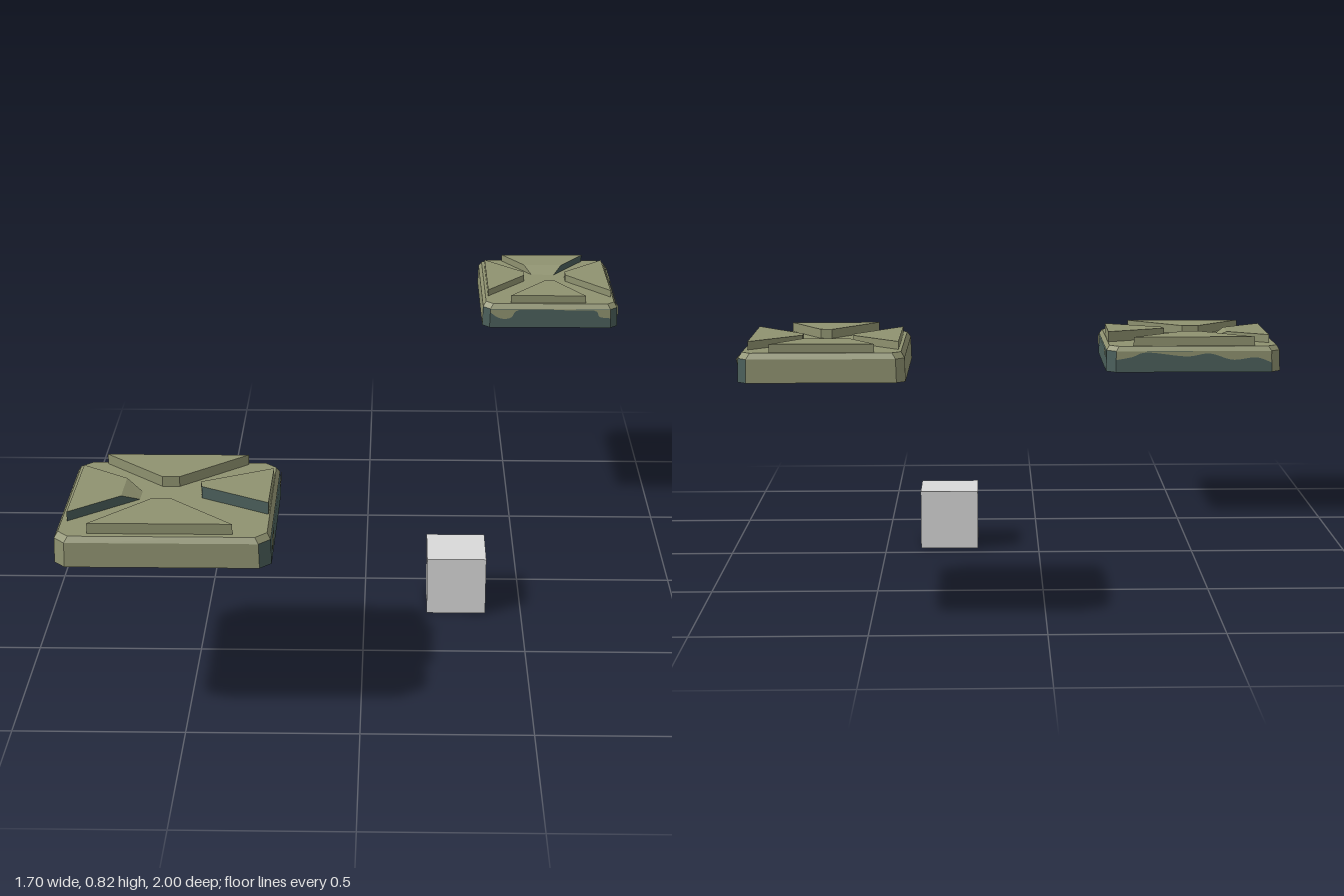
import * as THREE from 'three';

const mat = (name, color, side = THREE.FrontSide) => {
  const m = new THREE.MeshStandardMaterial({ color, side });
  m.name = name;
  return m;
};

// Mesh from convex, counter-clockwise polygons, flat-shaded
function polyMesh(name, material, polys) {
  const pos = [];
  for (const p of polys)
    for (let i = 1; i < p.length - 1; i++) pos.push(...p[0], ...p[i], ...p[i + 1]);
  const g = new THREE.BufferGeometry();
  g.setAttribute('position', new THREE.Float32BufferAttribute(pos, 3));
  g.computeVertexNormals();
  const mesh = new THREE.Mesh(g, material);
  mesh.name = name;
  return mesh;
}

// Rectangle with cut corners; even sides are +x, -z, -x, +z, odd sides the corners
const octagon = ([x0, x1, z0, z1], y, inset, c) => {
  x0 += inset; x1 -= inset; z0 += inset; z1 -= inset;
  return [[x1, z1 - c], [x1, z0 + c], [x1 - c, z0], [x0 + c, z0],
    [x0, z0 + c], [x0, z1 - c], [x0 + c, z1], [x1 - c, z1]].map(([x, z]) => [x, y, z]);
};

// Quads joining two rings of equal length
const band = (lo, hi) => lo.map((p, i) => {
  const j = (i + 1) % lo.length;
  return [p, lo[j], hi[j], hi[i]];
});

function buildPanel(name, d, olive, teal) {
  const panel = new THREE.Group();
  panel.name = name;

  // Slab with cut corners and a bevelled top rim
  const bottom = octagon(d.rect, d.y0, 0, d.cut);
  const rim = octagon(d.rect, d.y1 - 0.016, 0.002, d.cut);
  const top = octagon(d.rect, d.y1, 0.012, d.cut);
  const walls = band(bottom, rim);
  const isTeal = (_, i) => d.tealSides.includes(i);
  panel.add(
    polyMesh('slabTop', olive, [top, ...band(rim, top), ...walls.filter((w, i) => !isTeal(w, i))]),
    polyMesh('slabDarkSides', teal, [[...bottom].reverse(), ...walls.filter(isTeal)]));

  // Wavy paint edge hanging over the dark sides
  for (const [side, profile] of Object.entries(d.fringes)) {
    const i = +side;
    const a = new THREE.Vector3(...rim[i]);
    const b = new THREE.Vector3(...rim[(i + 1) % 8]);
    const out = new THREE.Vector3(-(b.z - a.z), 0, b.x - a.x).normalize().multiplyScalar(0.004);
    const pts = new THREE.SplineCurve(profile.map(p => new THREE.Vector2(...p))).getPoints(40);
    const strip = pts.map(p => {
      const hi = a.clone().lerp(b, THREE.MathUtils.clamp(p.x, 0, 1)).add(out);
      const lo = hi.clone();
      lo.y -= Math.max(p.y, 0.002);
      return [hi.toArray(), lo.toArray()];
    });
    panel.add(polyMesh('paintEdge', olive, strip.slice(1).map((s, k) =>
      [strip[k][1], s[1], s[0], strip[k][0]])));
  }

  // Raised wedges: outer edge first, then the narrow tip
  for (const w of d.wedges) {
    const low = w.pts.map(([x, z]) => [x, d.y1 - 0.002, z]);
    const high = w.pts.map(([x, z], i) => {
      const [ox, oz] = w.pts[3 - i];
      const k = w.ramp && i > 1 ? 0.27 : 0;
      return [x + (ox - x) * k, w.top, z + (oz - z) * k];
    });
    const sides = band(low, high);
    const dark = w.dark || [];
    panel.add(polyMesh(w.name, olive, [high, ...sides.filter((_, i) => !dark.includes(i))]));
    if (dark.length)
      panel.add(polyMesh(w.name + 'DarkSide', teal, sides.filter((_, i) => dark.includes(i))));
  }
  return panel;
}

export function createModel() {
  const model = new THREE.Group();
  const olive = mat('olive paint', 0x8f9270, THREE.DoubleSide);
  const teal = mat('dark teal', 0x4a5e5a);
  const grey = mat('light grey', 0xd9d9d9);

  // Plain cube resting on the ground
  const cube = new THREE.Mesh(new THREE.BoxGeometry(0.187, 0.19, 0.187), grey);
  cube.name = 'cube';
  cube.position.set(0.293, 0.095, 0.152);
  model.add(cube);

  // Lower, wider panel
  model.add(buildPanel('frontPanel', {
    rect: [-0.85, -0.245, 0.457, 1], y0: 0.525, y1: 0.614, cut: 0.032,
    tealSides: [0, 1, 2, 7],
    fringes: {
      0: [[0, 0.036], [0.08, 0.04], [0.17, 0.028], [0.2, 0.002], [0.5, 0.003], [0.8, 0.002], [0.86, 0.02], [1, 0.026]],
      2: [[0, 0.03], [0.1, 0.02], [0.2, 0.004], [0.45, 0.018], [0.6, 0.008], [0.75, 0.03], [0.9, 0.022], [1, 0.04]],
    },
    wedges: [
      { name: 'leftWedge', top: 0.65, dark: [3], pts: [[-0.26, 0.835], [-0.258, 0.59], [-0.463, 0.69], [-0.458, 0.725]] },
      { name: 'backWedge', top: 0.645, pts: [[-0.34, 0.48], [-0.76, 0.48], [-0.58, 0.645], [-0.53, 0.645]] },
      { name: 'rightWedge', top: 0.642, ramp: true, dark: [1], pts: [[-0.82, 0.556], [-0.822, 0.889], [-0.632, 0.735], [-0.63, 0.685]] },
      { name: 'frontWedge', top: 0.645, pts: [[-0.755, 0.97], [-0.352, 0.97], [-0.537, 0.8], [-0.595, 0.8]] },
    ],
  }, olive, teal));

  // Higher, smaller panel
  model.add(buildPanel('backPanel', {
    rect: [0.389, 0.847, -1, -0.488], y0: 0.711, y1: 0.792, cut: 0.024,
    tealSides: [0, 1, 5, 6, 7],
    fringes: {
      0: [[0, 0.03], [0.08, 0.032], [0.14, 0.006], [0.4, 0.005], [0.65, 0.006], [0.75, 0.018], [0.85, 0.015], [0.93, 0.026], [1, 0.005]],
      6: [[0, 0.012], [0.08, 0.032], [0.17, 0.03], [0.24, 0.002], [0.5, 0.002], [0.85, 0.002], [0.91, 0.025], [1, 0.03]],
    },
    wedges: [
      { name: 'leftWedge', top: 0.815, dark: [0], pts: [[0.828, -0.575], [0.824, -0.92], [0.685, -0.783], [0.685, -0.746]] },
      { name: 'backWedge', top: 0.815, ramp: true, dark: [3], pts: [[0.76, -0.977], [0.474, -0.977], [0.574, -0.815], [0.648, -0.815]] },
      { name: 'rightWedge', top: 0.814, pts: [[0.41, -0.92], [0.41, -0.58], [0.542, -0.746], [0.542, -0.783]] },
      { name: 'frontWedge', top: 0.818, pts: [[0.484, -0.508], [0.738, -0.508], [0.643, -0.672], [0.611, -0.677]] },
    ],
  }, olive, teal));

  return model;
}
